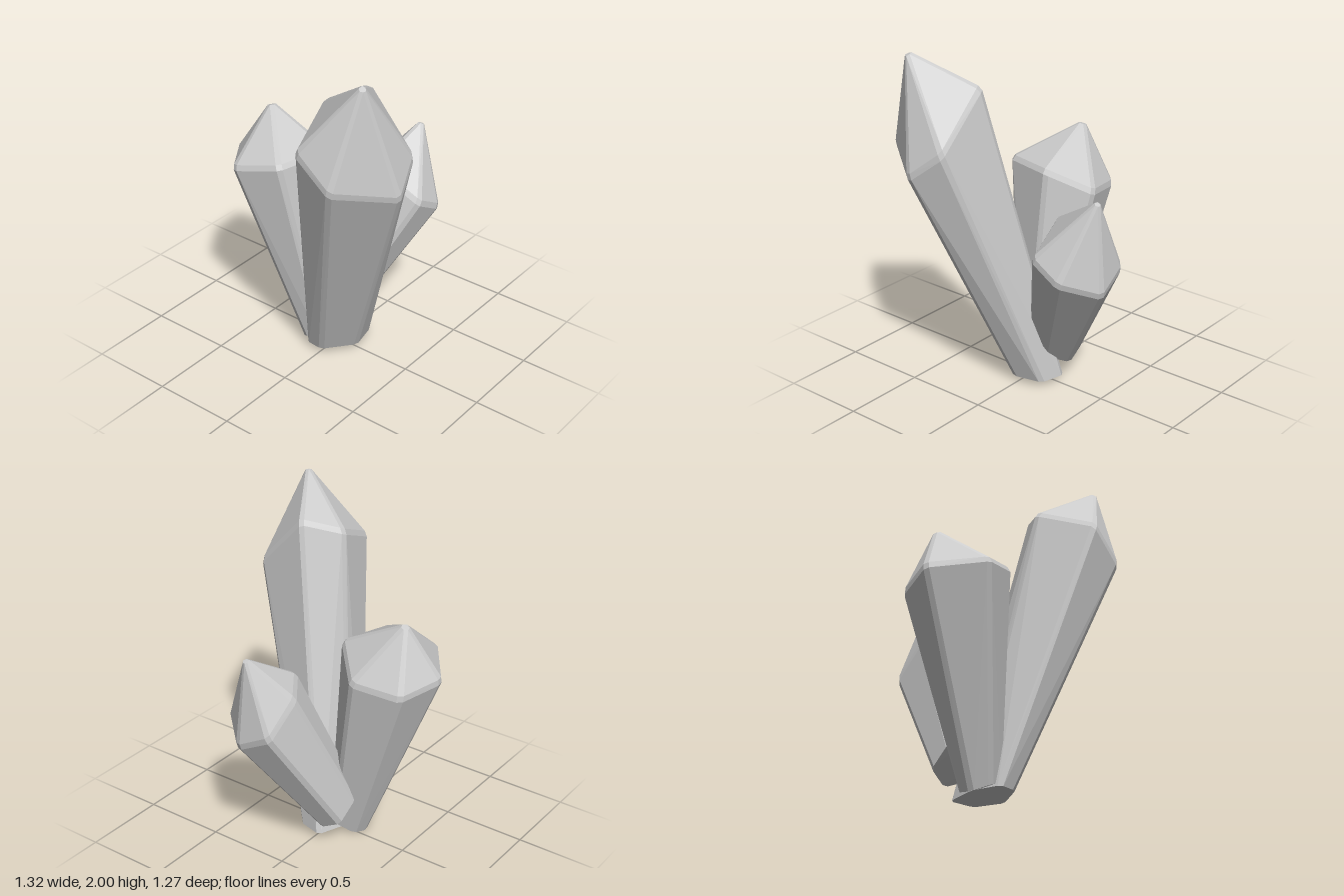
import * as THREE from 'three';
import { ConvexGeometry } from 'three/addons/geometries/ConvexGeometry.js';

const BEVEL = 0.02;
const V = ([x, y, z]) => new THREE.Vector3(x, y, z);

// Corner of a face, pulled inwards along the two edges that meet there
function inset(corner, a, b) {
  const toA = a.clone().sub(corner).normalize();
  const toB = b.clone().sub(corner).normalize();
  return corner.clone().addScaledVector(toA.add(toB), BEVEL);
}

function centre(ring) {
  return ring.reduce((sum, p) => sum.add(p), new THREE.Vector3()).divideScalar(ring.length);
}

// Six-sided crystal with bevelled edges: base ring, shoulder ring and a tip
function crystal(name, material, base, shoulder, tip) {
  const low = base.map(V);
  const high = shoulder.map(V);
  const mid = centre(high);
  // Make up for the width the bevel takes off the shoulder
  high.forEach((p) => p.sub(mid).multiplyScalar(1.05).add(mid));
  const top = V(tip);
  const points = [];
  const n = low.length;
  for (let i = 0; i < n; i++) {
    const j = (i + 1) % n;
    // side face: shoulder corners
    points.push(inset(high[i], high[j], low[i]), inset(high[j], high[i], low[j]));
    // cap face: shoulder corners and tip
    points.push(inset(high[i], high[j], top), inset(high[j], high[i], top));
    points.push(inset(top, high[i], high[j]));
    // base edge
    const along = low[j].clone().sub(low[i]).normalize().multiplyScalar(BEVEL);
    points.push(low[i].clone().add(along), low[j].clone().sub(along));
  }
  const mesh = new THREE.Mesh(new ConvexGeometry(points), material);
  mesh.name = name;
  return mesh;
}

export function createModel() {
  const group = new THREE.Group();
  group.name = 'crystalCluster';
  const material = new THREE.MeshStandardMaterial({ color: 0xcccccc, flatShading: true });

  // Tall crystal leaning forwards, cut level at its foot
  group.add(crystal('tallCrystal', material,
    [[-0.12, 0.04, 0], [-0.04, 0.04, -0.2], [0.12, 0.04, -0.16],
      [0.16, 0.04, 0.02], [0.02, 0.04, 0.19], [-0.1, 0.04, 0.18]],
    [[0.14, 1.75, 0.29], [0.31, 1.82, 0.12], [0.6, 1.52, 0.14],
      [0.66, 1.37, 0.33], [0.44, 1.45, 0.63], [0.22, 1.61, 0.62]],
    [0.52, 2.025, 0.46]));

  // Medium crystal leaning sideways
  group.add(crystal('mediumCrystal', material,
    [[-0.21, 0, 0.06], [-0.14, 0.04, 0.15], [-0.02, 0.09, 0.14],
      [0.03, 0.1, 0.02], [-0.06, 0.07, -0.08], [-0.18, 0.02, -0.04]],
    [[-0.66, 1.14, 0.09], [-0.46, 1.18, 0.36], [-0.18, 1.25, 0.3],
      [-0.09, 1.26, -0.02], [-0.28, 1.13, -0.21], [-0.55, 1.09, -0.14]],
    [-0.48, 1.465, 0.01]));

  // Short crystal leaning backwards; its foot is a smaller copy of its shoulder
  const shoulder = [[0.08, 1.1, -0.25], [0.36, 0.95, -0.29], [0.37, 0.85, -0.47],
    [0.19, 0.77, -0.63], [-0.01, 0.87, -0.61], [-0.04, 1.04, -0.42]];
  const mid = centre(shoulder.map(V));
  const foot = new THREE.Vector3(-0.09, 0.22, -0.1);
  const base = shoulder.map((p) => V(p).sub(mid).multiplyScalar(0.65).add(foot).toArray());
  group.add(crystal('shortCrystal', material, base, shoulder, [0.165, 1.315, -0.585]));

  return group;
}
